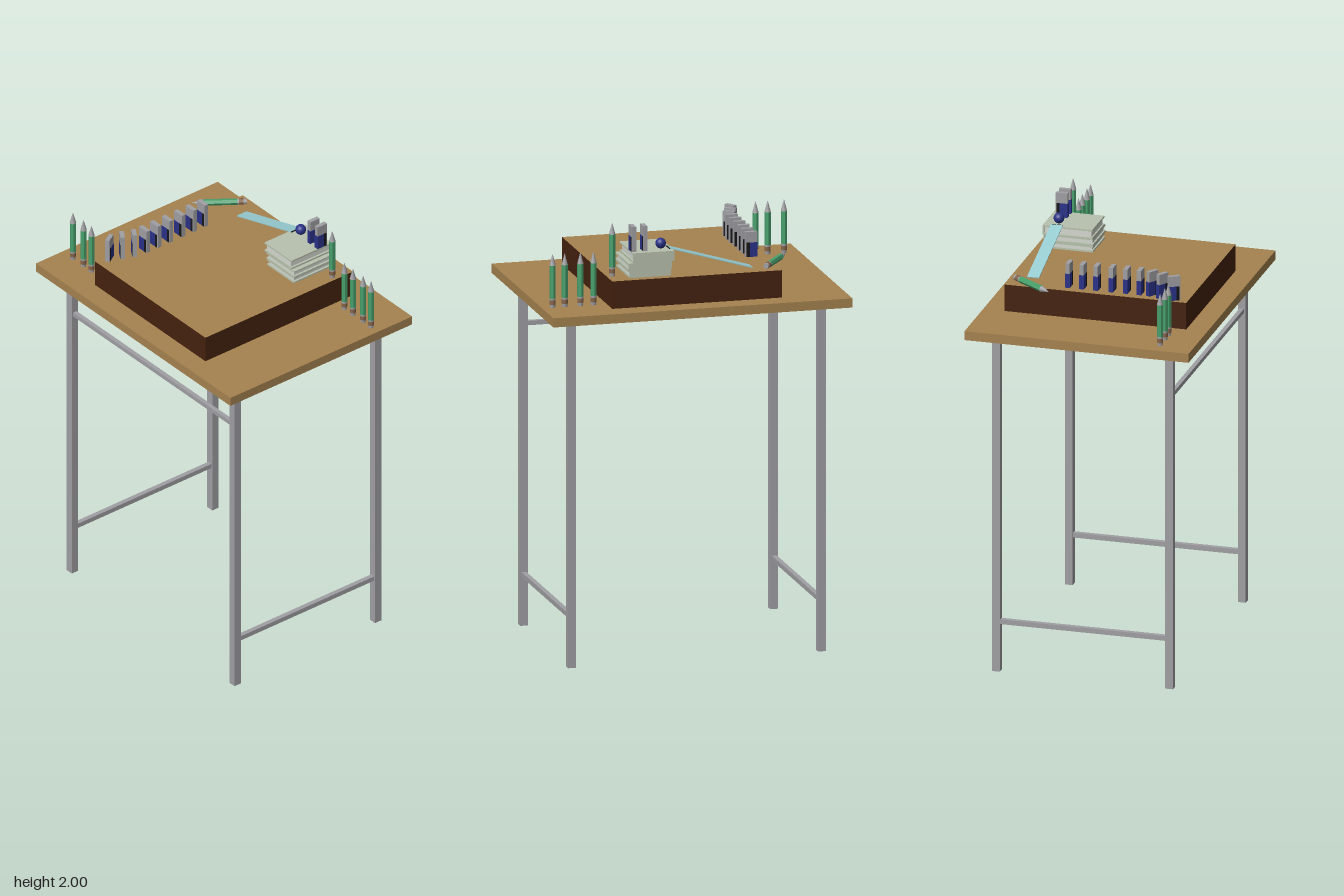
import * as THREE from 'three';

const mat = (name, color) => {
  const m = new THREE.MeshStandardMaterial({ color });
  m.name = name;
  return m;
};

export function createModel() {
  const wood = mat('wood', 0xa5824f);
  const darkWood = mat('darkWood', 0x45220f);
  const grey = mat('grey', 0xa0a0a4);
  const paleGreen = mat('paleGreen', 0xb8c2ae);
  const paper = mat('paper', 0xd4d8d0);
  const sky = mat('sky', 0x98cdd2);
  const navy = mat('navy', 0x2a3288);
  const black = mat('black', 0x16161a);
  const green = mat('pencilGreen', 0x48a06c);
  const brown = mat('ferruleBrown', 0x86654a);

  const model = new THREE.Group();
  model.name = 'chainReactionTable';

  const add = (parent, name, geo, material, x, y, z) => {
    const mesh = new THREE.Mesh(geo, material);
    mesh.name = name;
    mesh.position.set(x, y, z);
    parent.add(mesh);
    return mesh;
  };
  // Box given by its centre x and z, and the height of its underside
  const box = (parent, name, material, w, h, d, x, y, z) =>
    add(parent, name, new THREE.BoxGeometry(w, h, d), material, x, y + h / 2, z);
  const group = (name, x, y, z) => {
    const g = new THREE.Group();
    g.name = name;
    g.position.set(x, y, z);
    model.add(g);
    return g;
  };

  // Table
  box(model, 'tableTop', wood, 1.375, 0.042, 1.035, 0, 1.588, 0);
  for (const x of [-0.575, 0.575]) {
    for (const z of [-0.4, 0.4]) box(model, 'leg', grey, 0.036, 1.588, 0.036, x, 0, z);
    box(model, 'sideRail', grey, 0.022, 0.022, 0.77, x, 0.223, 0);
  }
  box(model, 'frontRail', grey, 1.12, 0.02, 0.02, 0, 1.37, 0.4);

  // Raised platform: dark sides, wooden top
  const [tableY, platformY] = [1.63, 1.755];
  box(model, 'platform', [darkWood, darkWood, wood, darkWood, darkWood, darkWood],
    0.78, platformY - tableY, 0.84, 0, tableY, 0);

  // Book stack: cover, pages, cover
  const book = (x, y, w, h, d) => {
    const g = group('book', x, y, -0.27);
    const c = 0.008;
    box(g, 'bottomCover', paleGreen, w, c, d, 0, 0, 0);
    box(g, 'pages', paper, w - 0.02, h - 2 * c, d - 0.014, 0, c, 0);
    box(g, 'topCover', paleGreen, w, c, d, 0, h - c, 0);
    box(g, 'spine', paleGreen, w, h, 0.006, 0, 0, -d / 2 + 0.003);
  };
  book(0.205, 1.755, 0.19, 0.032, 0.225);
  book(0.206, 1.787, 0.198, 0.035, 0.23);
  book(0.189, 1.822, 0.19, 0.046, 0.23);
  const bookY = 1.868;

  // Standing blocks: grey core with a printed wrap on both broad faces and one edge
  const block = (x, y, z, turn) => {
    const g = group('standingBlock', x, y, z);
    g.rotation.y = turn;
    const [w, h, d, t] = [0.054, 0.114, 0.02, 0.002];
    box(g, 'blockCore', grey, w, h, d, 0, 0, 0);
    for (const s of [-1, 1]) {
      box(g, 'blueWrap', navy, 0.036, 0.066, t, -0.009, 0, s * d / 2);
      box(g, 'blackWrap', black, 0.014, 0.066, t, 0.016, 0, s * d / 2);
    }
    box(g, 'blueEdge', navy, t, 0.066, d, -w / 2, 0, 0);
  };
  for (const z of [-0.14, -0.075, -0.01, 0.06, 0.127, 0.19]) block(-0.325, platformY, z, 0);
  block(-0.33, platformY, 0.246, -0.56);
  block(-0.35, platformY, 0.298, -0.56);
  block(-0.368, platformY, 0.356, -1.02);
  for (const x of [0.221, 0.273]) block(x, bookY, -0.332, Math.PI / 2);

  // Ramp and ball
  const [x0, x1] = [-0.275, 0.105];
  const rise = bookY - platformY;
  const ramp = add(model, 'ramp',
    new THREE.BoxGeometry(Math.hypot(x1 - x0, rise), 0.004, 0.055), sky,
    (x0 + x1) / 2, (platformY + bookY) / 2 + 0.002, -0.322);
  ramp.rotation.z = Math.atan2(rise, x1 - x0);
  box(model, 'rampStop', black, 0.004, 0.004, 0.05, 0.107, bookY, -0.322);
  add(model, 'ball', new THREE.SphereGeometry(0.024, 24, 16), navy, 0.141, 1.891, -0.323);

  // Pencil pieces from the rubber to the point: name, material, bottom radius, top radius, length
  const pencilParts = [
    ['rubber', grey, 0.012, 0.013, 0.014],
    ['ferrule', brown, 0.014, 0.014, 0.02],
    ['ferruleBand', grey, 0.0135, 0.0135, 0.008],
    ['barrel', green, 0.0145, 0.0145, 0.15],
    ['point', grey, 0.0145, 0.001, 0.05],
  ];
  const pencil = (x, y, z) => {
    const g = group('pencil', x, y, z);
    let h = 0;
    for (const [name, material, r0, r1, len] of pencilParts) {
      const sides = name === 'barrel' ? 6 : 12;
      const geo = new THREE.CylinderGeometry(r1, r0, len, sides);
      add(g, name, sides === 6 ? geo.toNonIndexed() : geo, material, 0, h + len / 2, 0);
      if (sides === 6) g.children.at(-1).geometry.computeVertexNormals();
      h += len;
    }
    return g;
  };
  for (const x of [0.45, 0.51, 0.582, 0.638]) pencil(x, tableY, -0.323);
  for (const x of [-0.615, -0.54, -0.484]) pencil(x, tableY, 0.365);
  pencil(0.364, platformY, -0.323);

  // Pencil lying over the platform edge
  const lying = pencil(-0.324, 1.77, -0.39);
  lying.quaternion.setFromUnitVectors(
    new THREE.Vector3(0, 1, 0), new THREE.Vector3(-0.137, 0, 0.19).normalize());

  return model;
}
